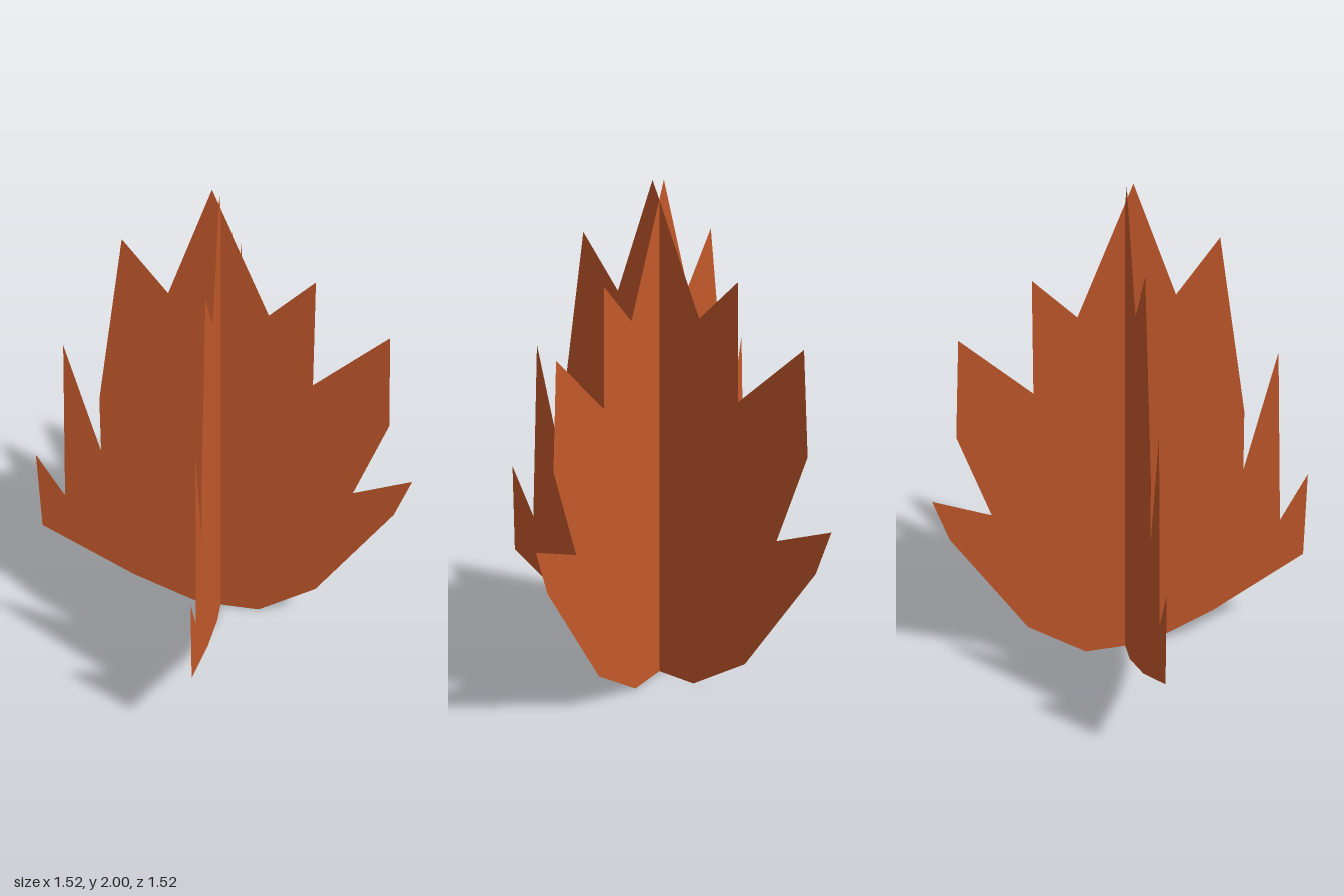
import * as THREE from 'three';

// Jagged leaf outline, clockwise from the tip
const outline = [
  [-0.03, 2], [0.18, 1.505], [0.345, 1.66], [0.353, 1.21], [0.623, 1.447],
  [0.652, 1.052], [0.533, 0.7], [0.76, 0.785], [0.702, 0.607], [0.407, 0.155],
  [0.168, 0], [-0.1, 0.01], [-0.373, 0.135], [-0.76, 0.37], [-0.757, 0.75],
  [-0.65, 0.547], [-0.604, 1.3], [-0.484, 0.8], [-0.477, 1.06], [-0.356, 1.78],
  [-0.193, 1.568],
];

export function createModel() {
  const model = new THREE.Group();
  model.name = 'leafyPlant';

  const rust = new THREE.MeshStandardMaterial({ color: 0xc4592b, side: THREE.DoubleSide });
  rust.name = 'rustOrange';

  const shape = new THREE.Shape(outline.map(([x, y]) => new THREE.Vector2(x, y)));
  const geometry = new THREE.ShapeGeometry(shape);

  // Two flat blades crossing at right angles on the vertical axis
  ['frontBlade', 'sideBlade'].forEach((name, i) => {
    const blade = new THREE.Mesh(geometry, rust);
    blade.name = name;
    blade.rotation.y = i * Math.PI / 2;
    model.add(blade);
  });

  return model;
}
